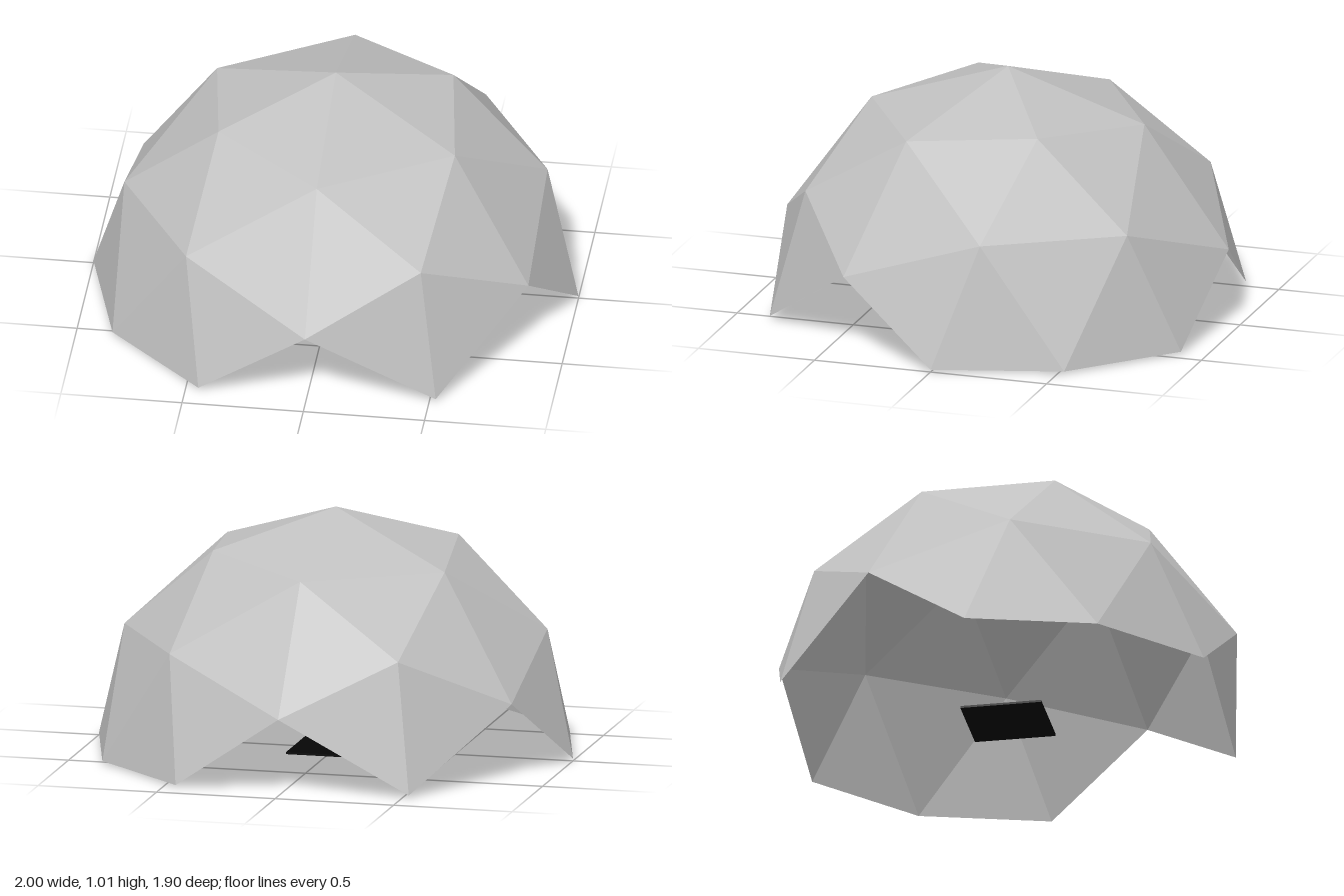
import * as THREE from 'three';

const BASE = 0.01; // height of the dome's feet above the ground

// Two-frequency geodesic shell, keeping only facets lying wholly above the equator.
// Facets that would cross the equator fall away and leave four triangular openings.
function domeGeometry() {
  const sphere = new THREE.IcosahedronGeometry(1, 1);
  sphere.rotateY(Math.atan2(0.5257, 0.8507));
  const pos = sphere.getAttribute('position');
  const kept = [];
  for (let i = 0; i < pos.count; i += 3) {
    const corners = [i, i + 1, i + 2];
    if (corners.every((c) => pos.getY(c) > -0.001)) {
      corners.forEach((c) => kept.push(pos.getX(c), pos.getY(c), pos.getZ(c)));
    }
  }
  const geometry = new THREE.BufferGeometry();
  geometry.setAttribute('position', new THREE.Float32BufferAttribute(kept, 3));
  geometry.computeVertexNormals();
  return geometry;
}

export function createModel() {
  const shellGrey = new THREE.MeshStandardMaterial({ color: 0xc0c0c0, flatShading: true, side: THREE.DoubleSide });
  shellGrey.name = 'shell grey';
  const plateBlack = new THREE.MeshStandardMaterial({ color: 0x060606, flatShading: true });
  plateBlack.name = 'plate black';

  const model = new THREE.Group();
  model.name = 'geodesicDome';

  // Faceted shell
  const dome = new THREE.Mesh(domeGeometry(), shellGrey);
  dome.name = 'domeShell';
  dome.position.y = BASE;
  model.add(dome);

  // Thin square plate on the floor in the middle
  const plate = new THREE.Mesh(new THREE.BoxGeometry(0.335, 0.009, 0.335), plateBlack);
  plate.name = 'floorPlate';
  plate.position.y = 0.0045;
  model.add(plate);

  return model;
}
